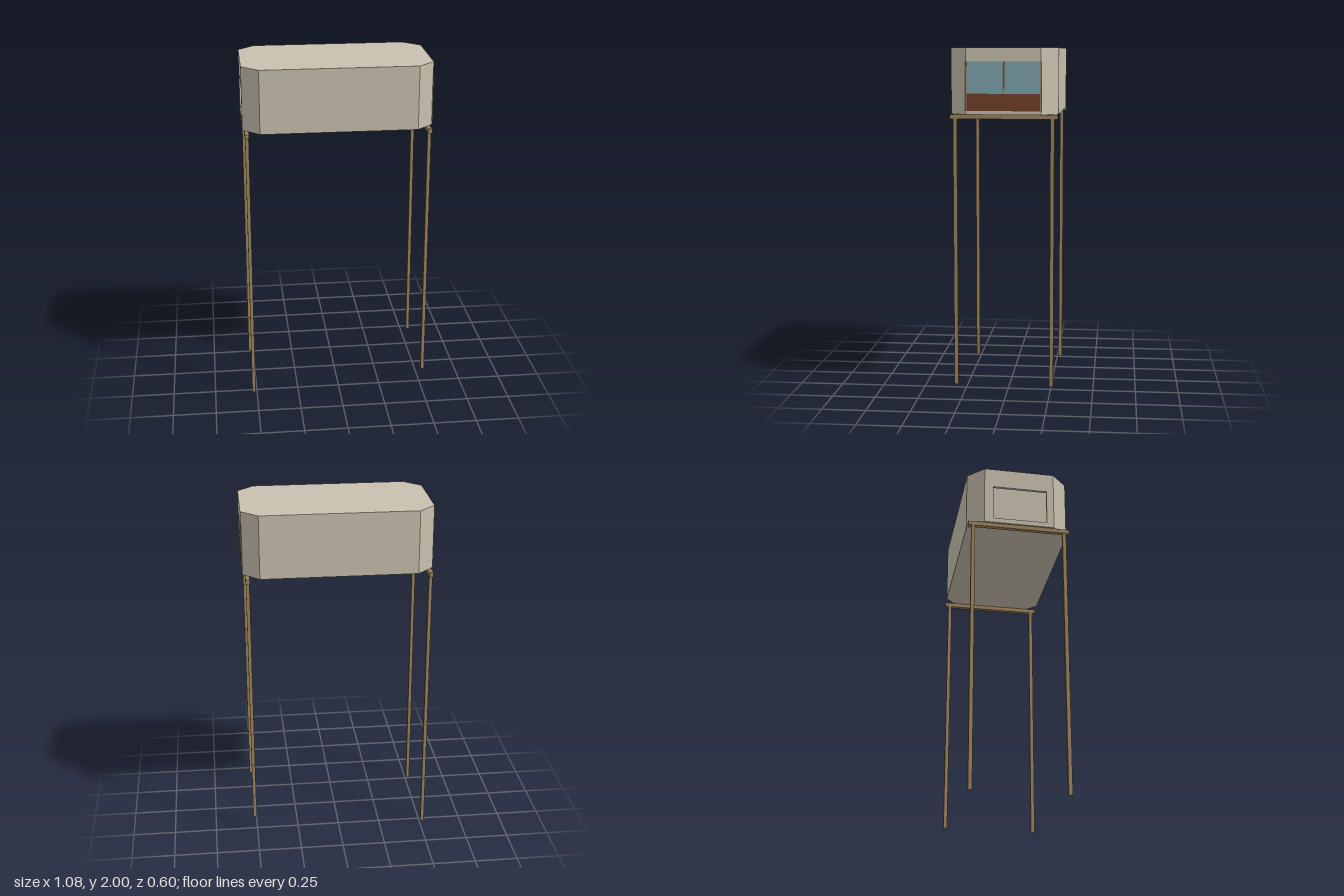
import * as THREE from 'three';

const mat = (name, color) => new THREE.MeshStandardMaterial({ name, color });

export function createModel() {
  const beige = mat('beigePanel', 0xc8c0ae);
  const wood = mat('wood', 0x9c845e);
  const glass = mat('blueGlass', 0x7fa3ad);
  const brown = mat('brownPanel', 0x744029);

  const model = new THREE.Group();
  model.name = 'raisedCabin';
  const add = (name, geometry, material) => {
    const mesh = new THREE.Mesh(geometry, material);
    mesh.name = name;
    model.add(mesh);
    return mesh;
  };
  // Box given by its min and max on each axis
  const block = (name, material, [x0, x1], [y0, y1], [z0, z1]) =>
    add(name, new THREE.BoxGeometry(x1 - x0, y1 - y0, z1 - z0), material)
      .position.set((x0 + x1) / 2, (y0 + y1) / 2, (z0 + z1) / 2);
  // Upright prism over a plan outline of [x, z] points
  const prism = (name, points, y0, y1) => {
    const shape = new THREE.Shape(points.map(([x, z]) => new THREE.Vector2(x, -z)));
    const g = new THREE.ExtrudeGeometry(shape, { depth: y1 - y0, bevelEnabled: false });
    g.rotateX(-Math.PI / 2).translate(0, y0, 0);
    add(name, g, beige);
  };
  // Rectangle with cut corners: half sizes X, Z and where the cuts begin
  const octagon = (X, Z, cx, cz) => [
    [X, cz], [cx, Z], [-cx, Z], [-X, cz], [-X, -cz], [-cx, -Z], [cx, -Z], [X, -cz],
  ];
  const outer = octagon(0.54, 0.3, 0.445, 0.207);
  const inner = octagon(0.525, 0.285, 0.439, 0.201);
  const base = 1.635, floorTop = 1.65, ceiling = 1.985, top = 2;

  // Floor, roof and the six closed walls
  prism('floor', outer, base, floorTop);
  prism('roof', outer, ceiling, top);
  for (let i = 0; i < 7; i++) {
    if (i === 3) continue;
    const name = i === 1 || i === 5 ? 'longWall' : 'cornerWall';
    prism(name, [outer[i], outer[i + 1], inner[i + 1], inner[i]], floorTop, ceiling);
  }

  // Open end: a wall with a wide opening and a partition behind it
  const xEnd = [-0.54, -0.525], full = [floorTop, ceiling];
  block('openEndJamb', beige, xEnd, full, [-0.207, -0.155]);
  block('openEndJamb', beige, xEnd, full, [0.165, 0.207]);
  block('openEndSill', beige, xEnd, [floorTop, 1.665], [-0.155, 0.165]);
  block('openEndHeader', beige, xEnd, [1.88, ceiling], [-0.155, 0.165]);
  block('partition', beige, [-0.42, -0.405], full, [-0.285, 0.285]);

  // Glazed end: lower panel, glass and header
  const xGlazed = [0.525, 0.54], width = [-0.207, 0.207];
  block('glazedEndSill', beige, xGlazed, [floorTop, 1.655], width);
  block('lowerPanel', brown, xGlazed, [1.655, 1.75], width);
  block('window', glass, xGlazed, [1.75, 1.925], width);
  block('glazedEndHeader', beige, xGlazed, [1.925, ceiling], width);
  for (const z of [-0.206, 0, 0.206]) {
    block('windowBar', wood, [0.535, 0.543], [z ? 1.655 : 1.75, 1.925], [z - 0.004, z + 0.004]);
  }

  // Cross beams and legs; one pair of legs is shorter
  for (const [x, foot] of [[-0.518, 0], [0.513, 0.1]]) {
    block('crossBeam', wood, [x - 0.012, x + 0.012], [1.61, base], [-0.3, 0.3]);
    for (const z of [-0.27, 0.27]) {
      block('leg', wood, [x - 0.01, x + 0.01], [foot, 1.61], [z - 0.011, z + 0.011]);
    }
  }
  // Close the last corner of the wall ring is not needed: the glazed end spans it
  return model;
}
